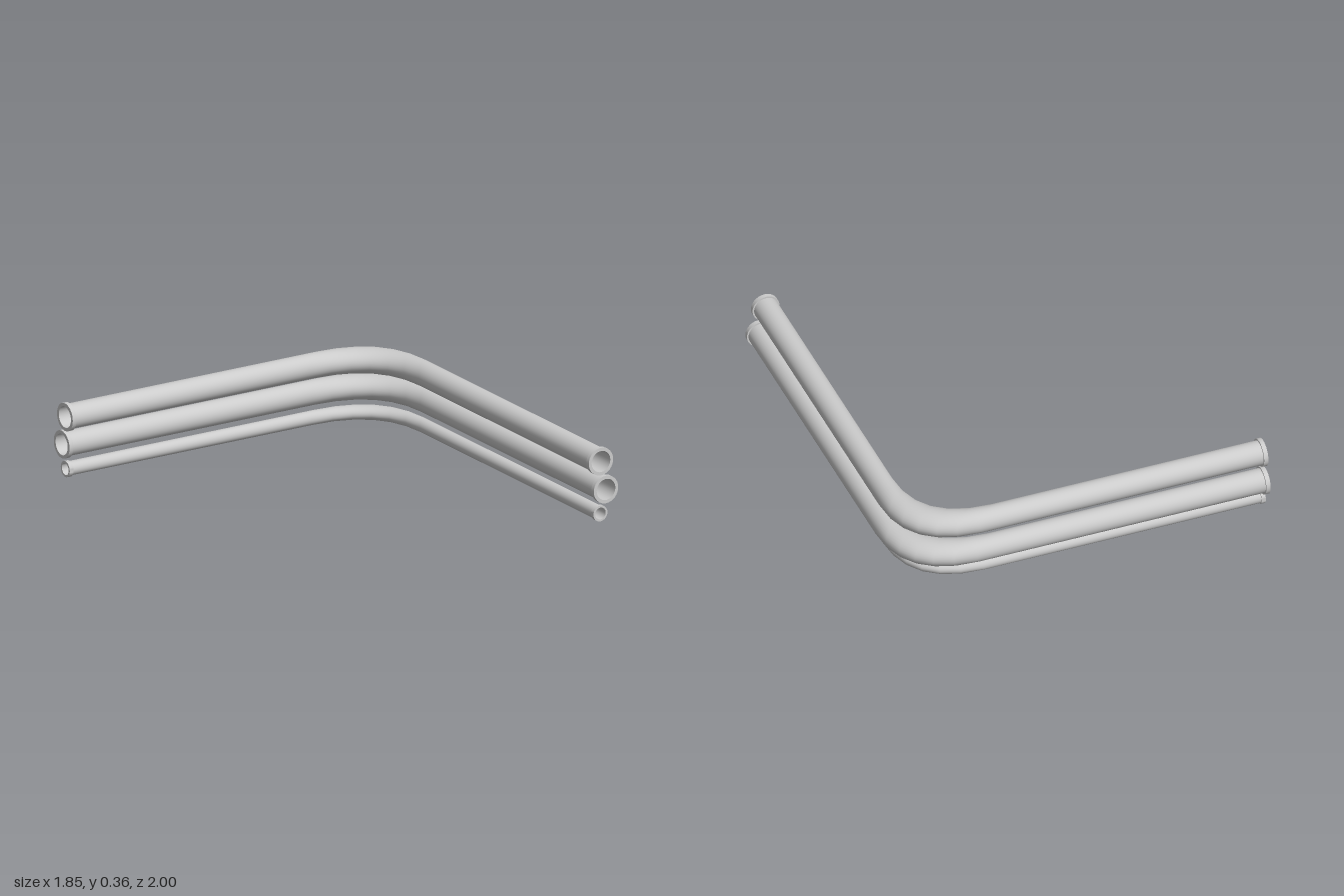
import * as THREE from 'three';
import { toCreasedNormals } from 'three/addons/utils/BufferGeometryUtils.js';

const SIDES = 32, BEND = 0.368, BEND_STEPS = 6;
const START_X = -0.926, END_Z = 1, COLLAR_LENGTH = 0.021;

// Round wall along an L-shaped path. Every lengthwise line follows the same bend,
// shifted along the mitre diagonal. inward turns the faces to the bore.
function wall(x, y, z, r, inward) {
  const pos = [], index = [];
  const ring = (px, pz, sx, sz) => {
    for (let i = 0; i < SIDES; i++) {
      const a = (i / SIDES) * Math.PI * 2, u = Math.cos(a) * r;
      pos.push(px + u * sx, y + Math.sin(a) * r, pz - u * sz);
    }
  };
  ring(START_X, z, 0, 1);
  for (let k = 0; k <= BEND_STEPS; k++) {
    const t = k / BEND_STEPS;
    ring(x - BEND * (1 - t) ** 2, z + BEND * t * t, 1, 1);
  }
  ring(x, END_Z, 1, 0);
  for (let j = 0; j < BEND_STEPS + 2; j++) {
    for (let i = 0; i < SIDES; i++) {
      const a = j * SIDES + i, b = j * SIDES + ((i + 1) % SIDES);
      const c = a + SIDES, d = b + SIDES;
      if (inward) index.push(a, c, b, b, c, d);
      else index.push(a, b, c, b, d, c);
    }
  }
  const g = new THREE.BufferGeometry();
  g.setAttribute('position', new THREE.Float32BufferAttribute(pos, 3));
  g.setIndex(index);
  g.computeVertexNormals();
  return g;
}

// Flat-faced end ring, from its open face at y = 0 back along +y
function collarGeometry(bore, outer) {
  const profile = [[bore, 0], [outer, 0], [outer, COLLAR_LENGTH], [bore, COLLAR_LENGTH]]
    .map(([px, py]) => new THREE.Vector2(px, py));
  return toCreasedNormals(new THREE.LatheGeometry(profile, SIDES), 0.6);
}

export function createModel() {
  const model = new THREE.Group();
  model.name = 'bentPipes';
  const material = new THREE.MeshStandardMaterial({ color: 0xcccccc });
  const add = (parent, name, geometry) => {
    const mesh = new THREE.Mesh(geometry, material);
    mesh.name = name;
    parent.add(mesh);
    return mesh;
  };

  // x and z give the corner of each centre line
  const pipes = [
    { name: 'upperPipe', x: 0.828, y: 0.297, z: -0.904, r: 0.06, bore: 0.052, collar: 0.068 },
    { name: 'middlePipe', x: 0.856, y: 0.154, z: -0.932, r: 0.06, bore: 0.052, collar: 0.068 },
    { name: 'lowerPipe', x: 0.825, y: 0.041, z: -0.901, r: 0.034, bore: 0.029, collar: 0.039 },
  ];

  for (const p of pipes) {
    const pipe = new THREE.Group();
    pipe.name = p.name;
    model.add(pipe);
    add(pipe, 'outerWall', wall(p.x, p.y, p.z, p.r, false));
    add(pipe, 'innerWall', wall(p.x, p.y, p.z, p.bore, true));

    // End collars
    const ringGeometry = collarGeometry(p.bore, p.collar);
    const back = add(pipe, 'backCollar', ringGeometry);
    back.position.set(START_X, p.y, p.z);
    back.rotation.z = -Math.PI / 2;
    const front = add(pipe, 'frontCollar', ringGeometry);
    front.position.set(p.x, p.y, END_Z);
    front.rotation.x = -Math.PI / 2;
  }
  return model;
}
